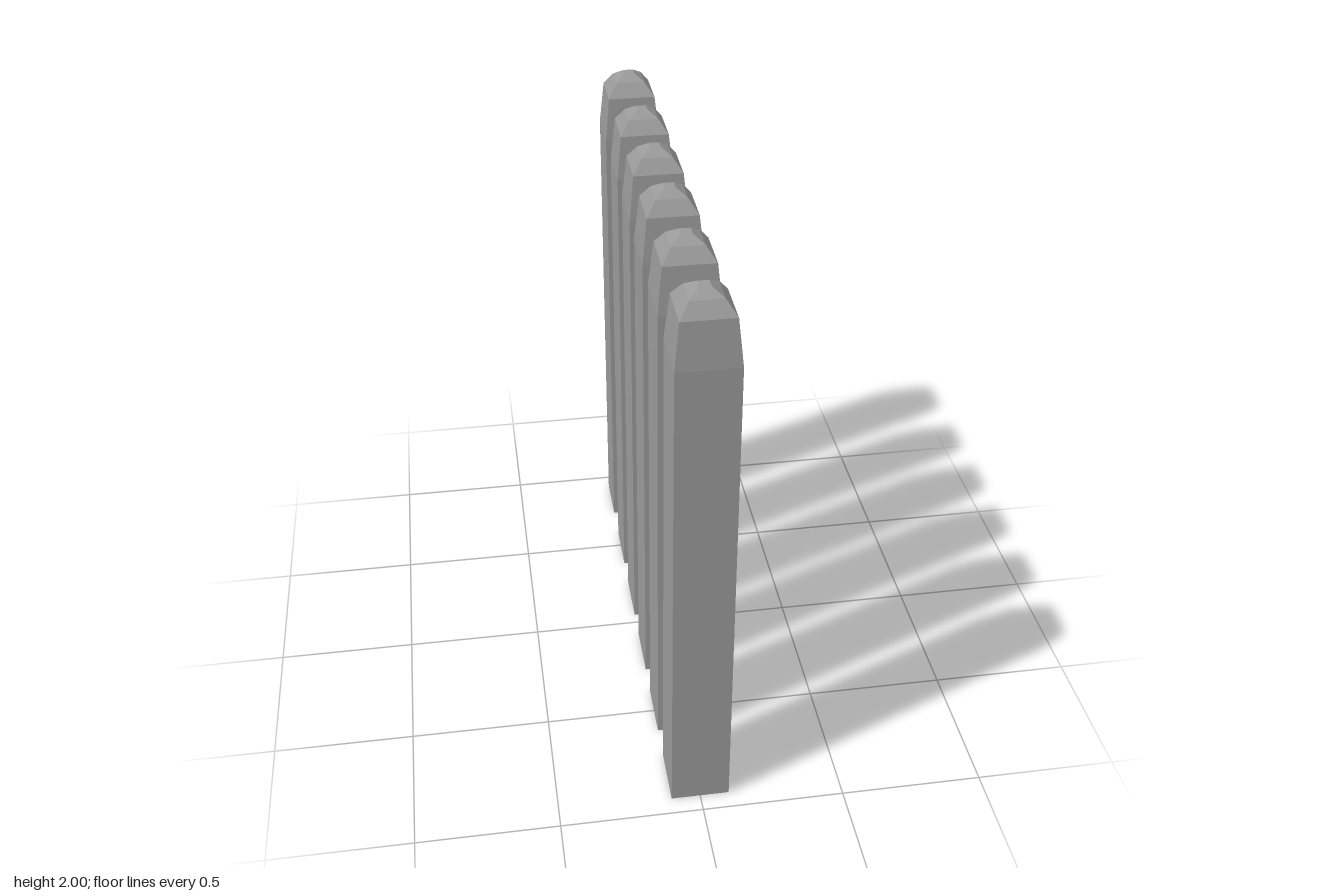
import * as THREE from 'three';

// Half-width and height of the square post, bottom to top
const PROFILE = [
  [0, 0], [0.102, 0], [0.102, 1.77], [0.086, 1.928],
  [0.053, 1.975], [0.018, 2], [0, 2],
];
const POST_Z = [0.833, 0.501, 0.174, -0.147, -0.479, -0.833];

export function createModel() {
  const group = new THREE.Group();
  group.name = 'postRow';
  const material = new THREE.MeshStandardMaterial({ color: 0x999999, flatShading: true });

  // Four-sided lathe turned 45 degrees so its sides face the axes
  const points = PROFILE.map(([half, y]) => new THREE.Vector2(half * Math.SQRT2, y));
  const geometry = new THREE.LatheGeometry(points, 4, Math.PI / 4).toNonIndexed();
  geometry.computeVertexNormals();

  // Row of identical posts with slightly uneven spacing
  POST_Z.forEach((z, i) => {
    const post = new THREE.Mesh(geometry, material);
    post.name = `post${i + 1}`;
    post.position.z = z;
    group.add(post);
  });
  return group;
}
